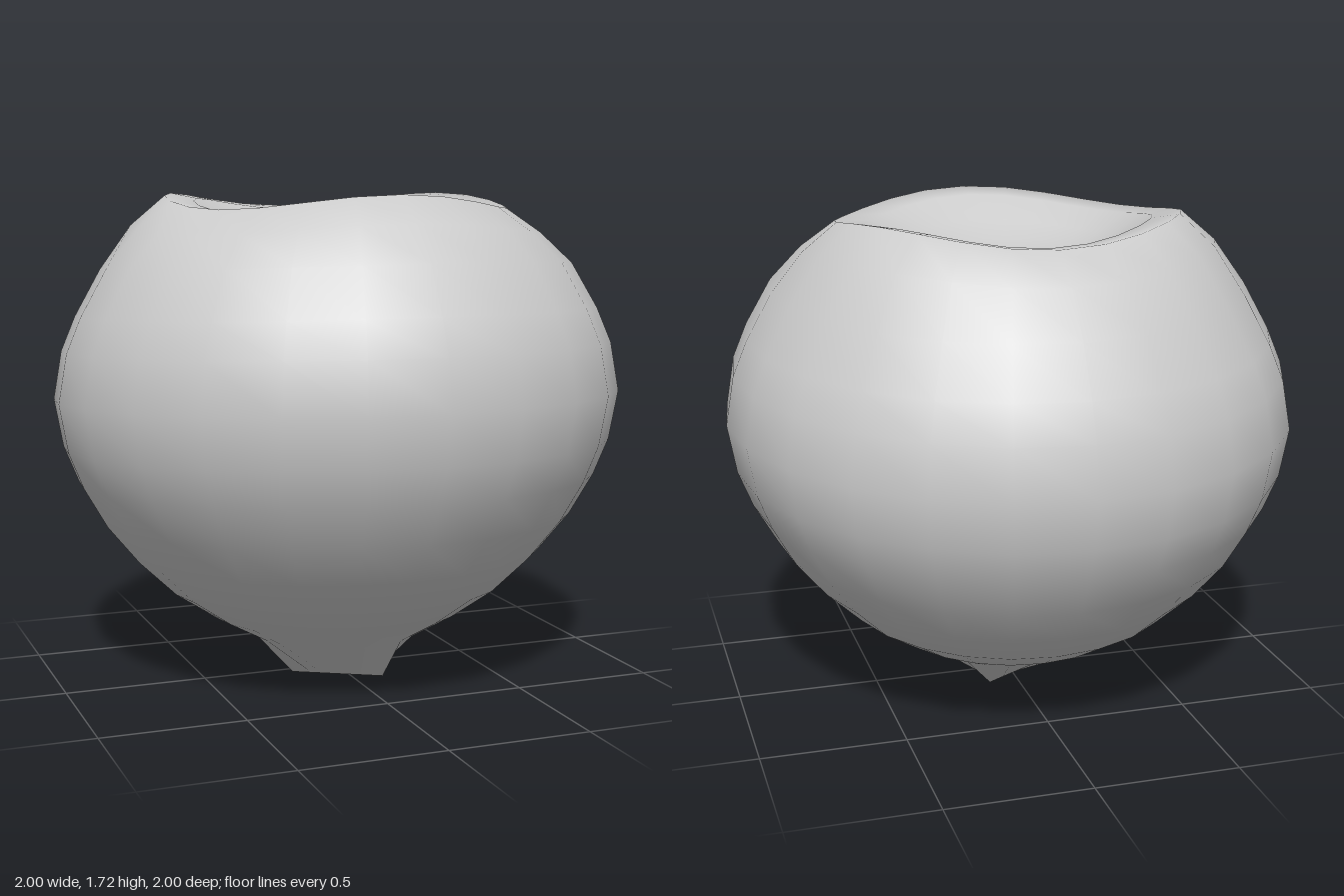
import * as THREE from 'three';
import { mergeVertices } from 'three/addons/utils/BufferGeometryUtils.js';

const smooth = THREE.MathUtils.smoothstep;

// Radius of a triangle with corners at -x and at +x, front and back
function triangleRadius(angle, corner) {
  const step = (2 * Math.PI) / 3;
  const a = ((((angle - Math.PI) % step) + step) % step) - step / 2;
  return (corner * 0.5) / Math.cos(step / 2 - Math.abs(a + step / 2 - step / 2) < 0 ? 0 : a);
}

// Round body from the tip, over the rim, down into the shallow hollow on top
function bodyGeometry() {
  const profile = [
    [0, 0], [0.18, 0], [0.3, 0.135], [0.45, 0.215], [0.6, 0.315], [0.73, 0.44],
    [0.84, 0.575], [0.92, 0.715], [0.97, 0.84], [1, 1.01], [0.97, 1.18],
    [0.92, 1.3], [0.83, 1.46], [0.72, 1.595], [0.6, 1.69],
    [0.5, 1.675], [0.38, 1.605], [0.25, 1.56], [0.12, 1.545], [0, 1.54],
  ].map(([r, y]) => new THREE.Vector2(r, y));
  let geo = new THREE.LatheGeometry(profile, 24);
  const pos = geo.attributes.position;
  const v = new THREE.Vector3();
  for (let i = 0; i < pos.count; i++) {
    v.fromBufferAttribute(pos, i);
    const r = Math.hypot(v.x, v.z);
    const { y } = v;
    const round = Math.atan2(v.x, v.z);

    // the tip becomes a blunt triangle, slightly off centre
    const tip = 1 - smooth(y, 0, 0.13);
    if (r > 0.01 && tip > 0) {
      const k = THREE.MathUtils.lerp(1, triangleRadius(Math.atan2(v.z, v.x), 0.19) / r, tip);
      v.x *= k;
      v.z *= k;
    }
    v.x += 0.01 * tip;
    v.z += 0.035 * tip;

    // the belly leans up towards the front; the rim rises in three lobes
    v.y += 0.05 * v.z * smooth(y, 0, 0.3) * (1 - smooth(y, 1.45, 1.68));
    const rim = smooth(y, 1.4, 1.69) * smooth(r, 0.2, 0.6);
    v.y += 0.025 * Math.cos(3 * round) * rim;
    pos.setXYZ(i, v.x, v.y, v.z);
  }
  geo.deleteAttribute('uv');
  geo.deleteAttribute('normal');
  geo = mergeVertices(geo, 1e-4);
  geo.computeVertexNormals();
  return geo;
}

export function createModel() {
  const group = new THREE.Group();
  const material = new THREE.MeshStandardMaterial({ color: 0xcccccc, side: THREE.DoubleSide });
  const body = new THREE.Mesh(bodyGeometry(), material);
  body.name = 'body';
  group.add(body);
  return group;
}
